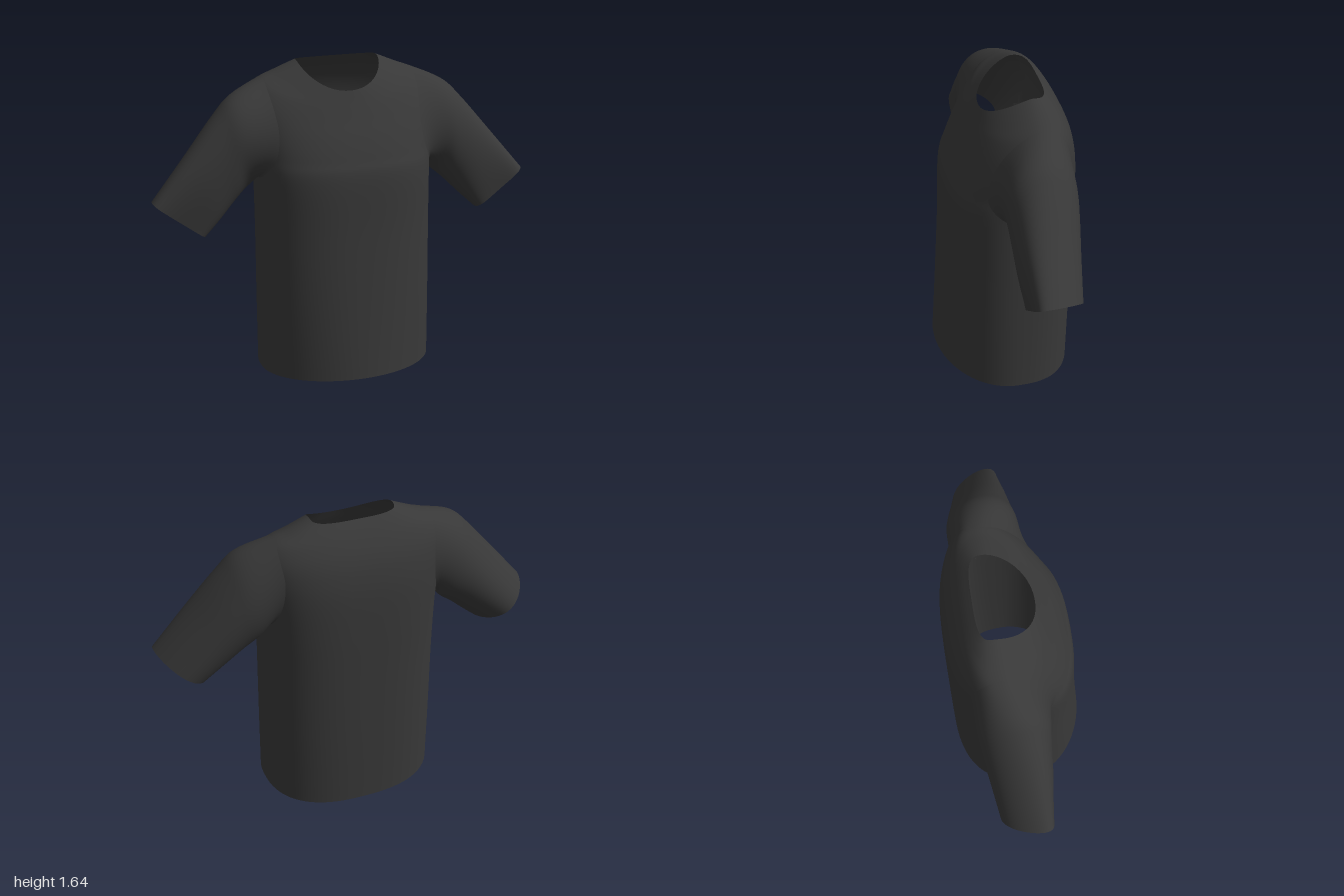
import * as THREE from 'three';

const SEGMENTS = 72;
const STEPS = 6;

// Catmull-Rom point at position v along a list of control points
function sample(points, v) {
  const last = points.length - 1;
  const i = Math.min(Math.floor(v), last - 1);
  const t = v - i;
  const [p, a, b, n] = [Math.max(i - 1, 0), i, i + 1, Math.min(i + 2, last)].map((k) => points[k]);
  return a.map((x, k) => x + 0.5 * t * (b[k] - p[k]
    + t * (2 * p[k] - 5 * x + 4 * b[k] - n[k] + t * (3 * (x - b[k]) + n[k] - p[k]))));
}

// Skins closed rings; column(angle) gives the control points running along the part
function loft(column, start, end, isOpen = () => false) {
  const positions = [];
  const index = [];
  const rows = (end - start) * STEPS;
  const columns = Array.from({ length: SEGMENTS }, (_, j) => column((j / SEGMENTS) * Math.PI * 2));
  for (let i = 0; i <= rows; i++) {
    for (let j = 0; j < SEGMENTS; j++) {
      const v = start + i / STEPS;
      positions.push(...sample(columns[j], v));
      if (i === rows || isOpen(((j + 0.5) / SEGMENTS) * Math.PI * 2, v + 0.5 / STEPS)) continue;
      const a = i * SEGMENTS + j;
      const b = i * SEGMENTS + ((j + 1) % SEGMENTS);
      index.push(a, a + SEGMENTS, b, b, a + SEGMENTS, b + SEGMENTS);
    }
  }
  const geometry = new THREE.BufferGeometry();
  geometry.setAttribute('position', new THREE.Float32BufferAttribute(positions, 3));
  geometry.setIndex(index);
  geometry.computeVertexNormals();
  return geometry;
}

// Body rings, hem to neckline:
// half width, side y, side z, front y, front z, back y, back z, front and back squareness
const bodyRings = [
  [0.46, 0.03, 0.0, 0.05, 0.358, 0.002, -0.35, 2.0, 2.5],
  [0.457, 0.4, -0.01, 0.4, 0.33, 0.4, -0.354, 2.2, 2.6],
  [0.453, 0.8, -0.02, 0.8, 0.302, 0.8, -0.356, 2.4, 2.7],
  [0.453, 1.08, -0.04, 1.1, 0.287, 1.08, -0.357, 2.6, 2.8],
  [0.462, 1.22, -0.06, 1.2, 0.258, 1.28, -0.352, 2.5, 2.8],
  [0.48, 1.35, -0.08, 1.3, 0.215, 1.4, -0.335, 2.3, 2.7],
  [0.48, 1.47, -0.095, 1.38, 0.172, 1.48, -0.31, 2.1, 2.6],
  [0.43, 1.553, -0.11, 1.435, 0.143, 1.545, -0.275, 2.0, 2.6],
  [0.33, 1.595, -0.12, 1.475, 0.122, 1.595, -0.238, 2.1, 2.8],
  [0.215, 1.645, -0.12, 1.52, 0.1, 1.635, -0.2, 2.1, 3.4],
];

function bodyColumn(angle) {
  const c = Math.cos(angle);
  const s = Math.sin(angle);
  const front = s >= 0;
  return bodyRings.map(([width, sideY, sideZ, frontY, frontZ, backY, backZ, nFront, nBack]) => {
    const power = 2 / (front ? nFront : nBack);
    const reach = Math.abs(s) ** power;
    return [
      width * Math.sign(c) * Math.abs(c) ** power,
      sideY + ((front ? frontY : backY) - sideY) * reach ** 1.4,
      sideZ + ((front ? frontZ : backZ) - sideZ) * reach,
    ];
  });
}

// Armhole: an oval on the body surface, measured in body angle and body ring number
const ARMHOLE = { ring: 5.2, height: 2.2, angle: 0.72 };

function isArmhole(angle, v) {
  const turn = Math.atan2(Math.sin(angle), Math.abs(Math.cos(angle)));
  return Math.hypot(turn / ARMHOLE.angle, (v - ARMHOLE.ring) / ARMHOLE.height) < 0.8;
}

function armholePoint(side, c, s, scale) {
  const [x, y, z] = sample(
    bodyColumn(-side * ARMHOLE.angle * scale * s),
    ARMHOLE.ring + ARMHOLE.height * scale * c,
  );
  return [side * x, y, z];
}

// Sleeve rings, upper arm to cuff:
// top x, top y, bottom x, bottom y, front z, back z, forward shift of the top and bottom
const sleeveRings = [
  [0.56, 1.5, 0.495, 1.03, 0.1, -0.262, 0],
  [0.66, 1.405, 0.57, 0.965, 0.09, -0.25, 0.02],
  [0.82, 1.215, 0.66, 0.875, 0.08, -0.225, 0.045],
  [1.0, 1.0, 0.74, 0.8, 0.055, -0.2, 0.07],
];

// The wider oval comes first only to make the sleeve leave the body smoothly
const sleeveColumn = (side) => (angle) => {
  const c = Math.cos(angle);
  const s = Math.sin(angle);
  return [
    armholePoint(side, c, s, 1.3),
    armholePoint(side, c, s, 1),
    ...sleeveRings.map(([topX, topY, lowX, lowY, frontZ, backZ, shift]) => [
      side * ((topX + lowX) / 2 + ((topX - lowX) / 2) * c),
      (topY + lowY) / 2 + ((topY - lowY) / 2) * c,
      (frontZ + backZ) / 2 - side * ((frontZ - backZ) / 2) * s + shift * c * c,
    ]),
  ];
};

export function createModel() {
  const shirt = new THREE.Group();
  shirt.name = 'shirt';
  const fabric = new THREE.MeshStandardMaterial({ color: 0x383838, side: THREE.DoubleSide });
  fabric.name = 'charcoal fabric';

  const add = (name, geometry) => {
    const mesh = new THREE.Mesh(geometry, fabric);
    mesh.name = name;
    shirt.add(mesh);
  };

  // Body, open at the hem, the neckline and the armholes
  add('body', loft(bodyColumn, 0, bodyRings.length - 1, isArmhole));

  // Short sleeves growing out of the armholes, open at the cuffs
  add('leftSleeve', loft(sleeveColumn(1), 1, sleeveRings.length + 1));
  add('rightSleeve', loft(sleeveColumn(-1), 1, sleeveRings.length + 1));

  return shirt;
}
